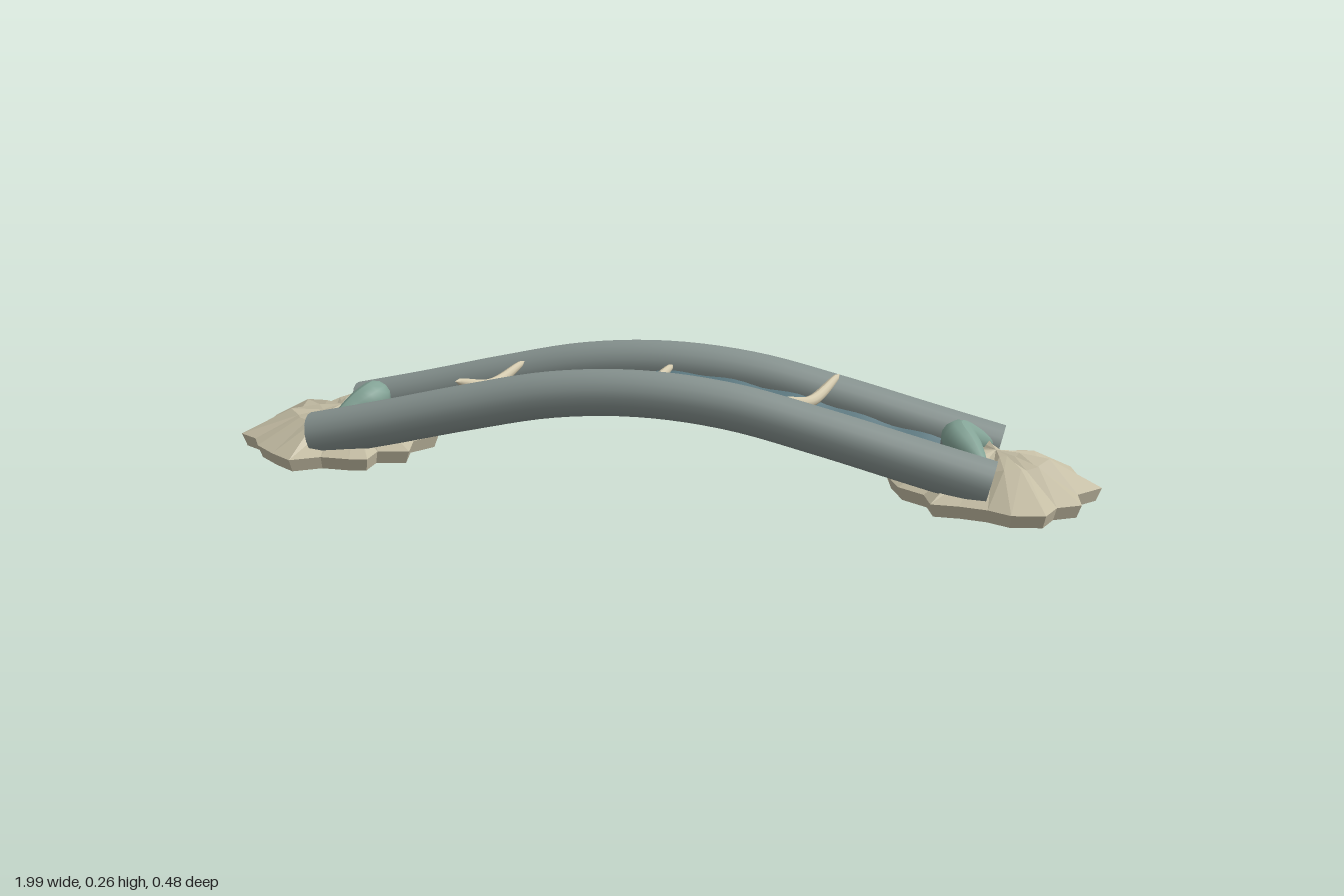
import * as THREE from 'three';

const mat = (color, extra = {}) => {
  const m = new THREE.MeshStandardMaterial({ color, ...extra });
  return m;
};
const STONE = 0xc4bda4, PIPE = 0x86928f, SHEET = 0x5b7880, HORN = 0x83a396, RIB = 0xd2c8ac;

function addMesh(parent, name, geometry, material) {
  const mesh = new THREE.Mesh(geometry, material);
  mesh.name = name;
  parent.add(mesh);
  return mesh;
}

const curveOf = (pts) => new THREE.CatmullRomCurve3(pts.map((p) => new THREE.Vector3(...p)));

// Tube whose radius follows a rule along its length
function taperedTube(curve, steps, sides, radius) {
  const g = new THREE.TubeGeometry(curve, steps, 1, sides, false);
  const pos = g.attributes.position, v = new THREE.Vector3();
  for (let i = 0; i <= steps; i++) {
    const c = curve.getPointAt(i / steps);
    for (let j = 0; j <= sides; j++) {
      const k = i * (sides + 1) + j;
      v.fromBufferAttribute(pos, k).sub(c).multiplyScalar(radius(i / steps)).add(c);
      pos.setXYZ(k, v.x, v.y, v.z);
    }
  }
  g.computeVertexNormals();
  return g;
}

// Arched line shared by the rails and the sheet between them
const archPoints = [[-0.775, 0.064], [-0.6, 0.105], [-0.4, 0.155], [-0.2, 0.198], [0, 0.213],
  [0.2, 0.198], [0.4, 0.155], [0.6, 0.105], [0.767, 0.064]];
const archAt = (z) => curveOf(archPoints.map(([x, y]) => [x, y, z]));

function makeRail(z, name) {
  const rail = new THREE.Group();
  rail.name = name;
  const curve = archAt(z), material = mat(PIPE);
  addMesh(rail, 'railTube', new THREE.TubeGeometry(curve, 40, 0.052, 18, false), material);
  for (const t of [0, 1]) {
    const cap = addMesh(rail, 'railCap', new THREE.CircleGeometry(0.052, 18), material);
    const p = curve.getPointAt(t);
    cap.position.copy(p);
    cap.lookAt(p.clone().addScaledVector(curve.getTangentAt(t), t ? 1 : -1));
  }
  return rail;
}

// Sagging, rippled sheet slung between the rails
function makeSheet() {
  const nx = 60, nz = 12;
  const g = new THREE.PlaneGeometry(1.3, 2, nx, nz);
  const pos = g.attributes.position;
  const arch = archAt(0).getSpacedPoints(200);
  const heightAt = (x) => {
    const i = Math.max(1, arch.findIndex((p) => p.x >= x));
    const a = arch[i - 1], b = arch[i];
    return a.y + (b.y - a.y) * (x - a.x) / (b.x - a.x);
  };
  for (let i = 0; i < pos.count; i++) {
    const x = pos.getX(i) - 0.01, s = pos.getY(i);
    const ripple = 0.005 * Math.sin(x * 42 + s) + 0.003 * Math.sin(x * 23);
    pos.setXYZ(i, x, heightAt(x) - 0.035 + 0.03 * s * s + ripple * Math.abs(s), -s * (0.093 + ripple * 0.5));
  }
  g.computeVertexNormals();
  return g;
}

// Scalloped foot: a low slab rising in creased folds to a peak
function makeFoot(outline) {
  const n = outline.length;
  const rings = [[0, 0], [0.95, 0], [1, 0.03], [0.5, 0.083], [0.22, 0.092], [0, 0.1]];
  const verts = [], index = [];
  rings.forEach(([scale, y], r) => outline.forEach(([x, z]) => {
    const fold = r === 3 || r === 4 ? (Math.hypot(x, z) - 0.215) * 0.3 : 0;
    verts.push(x * scale, y + fold, z * scale);
  }));
  for (let r = 0; r < rings.length - 1; r++) {
    for (let k = 0; k < n; k++) {
      const a = r * n + k, b = r * n + (k + 1) % n;
      if (r > 0) index.push(a, b, b + n);
      if (r === 0) index.push(a, b + n, a + n);
      else if (r < rings.length - 2) index.push(a, b + n, a + n);
    }
  }
  const g = new THREE.BufferGeometry();
  g.setAttribute('position', new THREE.Float32BufferAttribute(verts, 3));
  g.setIndex(index);
  g.computeVertexNormals();
  return g;
}

const leftOutline = [[0.23, 0], [0.18, -0.07], [0.16, -0.14], [0.1, -0.17], [0.03, -0.165], [-0.03, -0.21],
  [-0.08, -0.24], [-0.12, -0.2], [-0.14, -0.15], [-0.2, -0.12], [-0.19, -0.04], [-0.235, 0.02], [-0.2, 0.1],
  [-0.14, 0.14], [-0.12, 0.2], [-0.06, 0.2], [0, 0.21], [0.05, 0.235], [0.12, 0.22], [0.14, 0.16],
  [0.19, 0.13], [0.18, 0.06]];
const rightOutline = [[-0.21, 0], [-0.23, 0.07], [-0.18, 0.1], [-0.15, 0.15], [-0.09, 0.2], [-0.03, 0.24],
  [0.03, 0.2], [0.1, 0.2], [0.14, 0.19], [0.14, 0.13], [0.21, 0.11], [0.19, 0.03], [0.23, -0.03],
  [0.2, -0.1], [0.14, -0.13], [0.13, -0.2], [0.06, -0.2], [0, -0.22], [-0.05, -0.24], [-0.1, -0.2],
  [-0.13, -0.16], [-0.15, -0.12], [-0.22, -0.1]];

export function createModel() {
  const model = new THREE.Group();
  model.name = 'archedBridge';

  // Side rails and the walkway between them
  model.add(makeRail(0.14, 'frontRail'), makeRail(-0.14, 'backRail'));
  addMesh(model, 'walkwaySheet', makeSheet(), mat(SHEET, { side: THREE.DoubleSide }));

  // Sagging cross ribs: start, middle and end of each
  const ribs = [
    [[-0.43, 0.212, 0.135], [-0.385, 0.178, 0.015], [-0.34, 0.208, -0.095]],
    [[-0.045, 0.222, 0.09], [-0.01, 0.2, 0], [0.02, 0.222, -0.09]],
    [[0.31, 0.208, 0.095], [0.355, 0.178, -0.015], [0.4, 0.212, -0.138]],
  ];
  for (const pts of ribs) {
    const g = taperedTube(curveOf(pts), 16, 10, (t) => 0.013 * Math.pow(Math.sin(Math.PI * t), 0.35));
    addMesh(model, 'crossRib', g, mat(RIB));
  }

  // Scalloped feet, each with a swept-back horn at the walkway entrance
  for (const [side, outline, name] of [[1, leftOutline, 'left'], [-1, rightOutline, 'right']]) {
    const foot = addMesh(model, name + 'Foot', makeFoot(outline), mat(STONE, { flatShading: true }));
    foot.position.x = side * 0.767;

    const path = curveOf([[0.755, 0.085, 0.095], [0.715, 0.105, 0.045], [0.685, 0.122, 0],
      [0.715, 0.105, -0.045], [0.755, 0.085, -0.095]].map(([x, y, z]) => [side * x, y, z]));
    const horn = taperedTube(path, 24, 14, (t) => 0.038 * Math.pow(Math.sin(Math.PI * t), 0.8) + 0.0005);
    addMesh(model, name + 'Horn', horn, mat(HORN));
  }
  return model;
}
